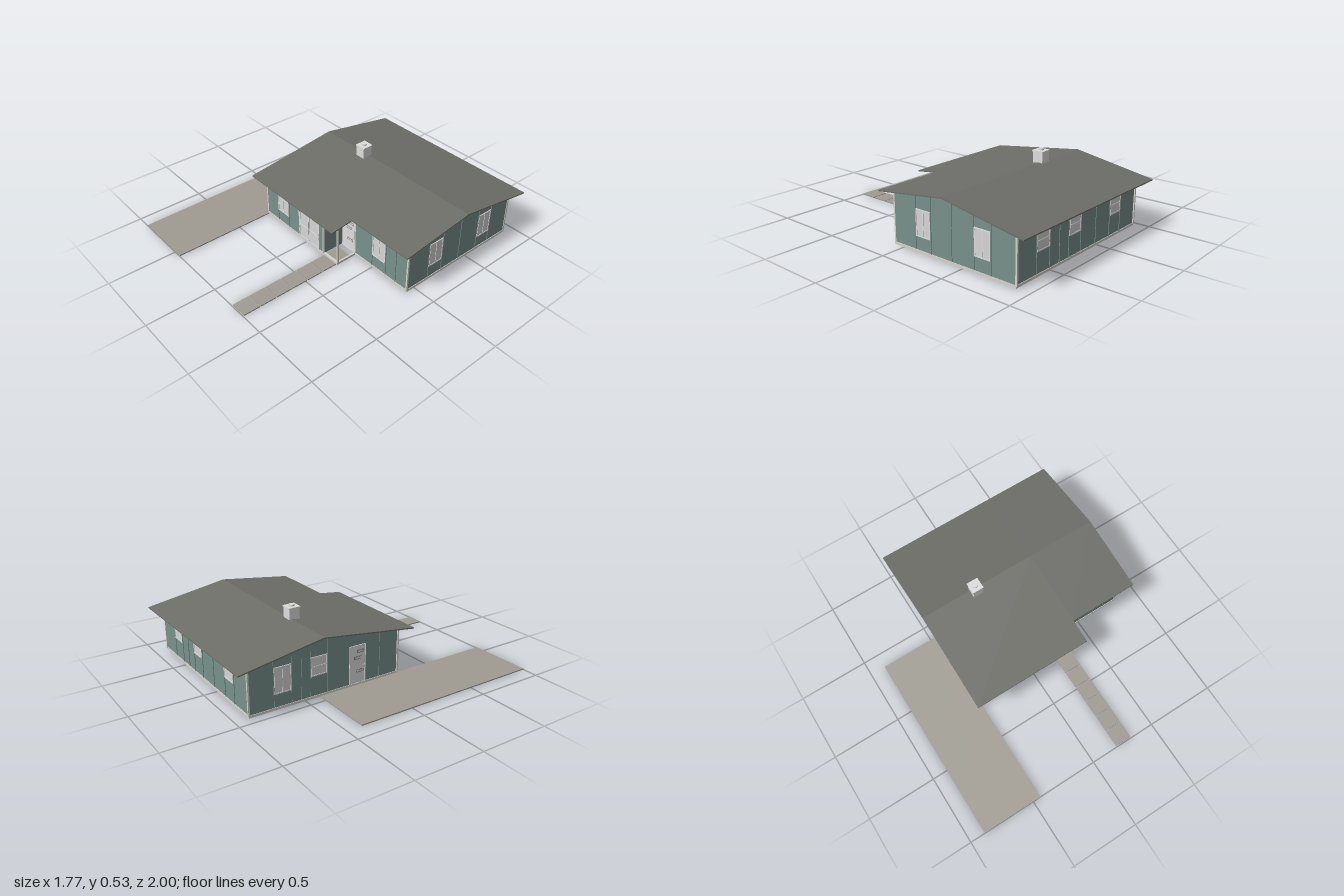
import * as THREE from 'three';

const mat = (name, color) => {
  const m = new THREE.MeshStandardMaterial({ color });
  m.name = name;
  return m;
};
const green = mat('green siding', 0x78918a);
const roofGrey = mat('roof shingle', 0x6e6e69);
const concrete = mat('concrete', 0xa09c93);
const white = mat('white paint', 0xdedede);
const trimCol = mat('trim', 0xd6d4cd);
const glass = mat('pale glass', 0xd6d6d6);
const dark = mat('dark grey', 0x6a6a6a);

// Roof line: ridge and two unequal slopes
const RIDGE_Z = -0.4, RIDGE_Y = 0.436;
const roofY = z => RIDGE_Y - (z > RIDGE_Z ? 0.132 * (z - RIDGE_Z) : 0.167 * (RIDGE_Z - z));
const X0 = -0.44, X1 = 0.825, ZB = -0.905, ZF = 0.235, ZR = 0.07, PX0 = 0.19, PX1 = 0.335, T = 0.012;

export function createModel() {
  const model = new THREE.Group();
  model.name = 'house';

  // Box given by its minimum and maximum on each axis
  const box = (name, m, x0, x1, y0, y1, z0, z1, parent = model) => {
    const mesh = new THREE.Mesh(new THREE.BoxGeometry(x1 - x0, y1 - y0, z1 - z0), m);
    mesh.position.set((x0 + x1) / 2, (y0 + y1) / 2, (z0 + z1) / 2);
    mesh.name = name;
    parent.add(mesh);
    return mesh;
  };

  // Profile of [z, y] points extruded from x0 to x1
  const profile = (name, m, pts, x0, x1) => {
    const shape = new THREE.Shape(pts.map(p => new THREE.Vector2(...p)));
    const g = new THREE.ExtrudeGeometry(shape, { depth: x1 - x0, bevelEnabled: false });
    g.rotateY(-Math.PI / 2).translate(x1, 0, 0);
    const mesh = new THREE.Mesh(g, m);
    mesh.name = name;
    model.add(mesh);
  };

  // Roof, with the front eave cut back on the left part
  const roofPart = (zf, x0, x1) => {
    const top = [[-1, roofY(-1)], [RIDGE_Z, RIDGE_Y], [zf, roofY(zf)]];
    profile('roof', roofGrey, [...top, ...top.map(([z, y]) => [z, y - 0.008]).reverse()], x0, x1);
  };
  roofPart(0.318, -0.505, 0.375);
  roofPart(0.15, 0.375, 0.885);

  // Gable walls: green outside, white lining inside
  const under = z => roofY(z) - 0.009;
  const gable = (name, m, zb, zf, x0, x1) => {
    const pts = [[zb, 0.015], [zb, under(zb)], [zf, under(zf)], [zf, 0.015]];
    if (zf > RIDGE_Z && zb < RIDGE_Z) pts.splice(2, 0, [RIDGE_Z, under(RIDGE_Z)]);
    profile(name, m, pts, x0, x1);
  };
  gable('rightGableWall', green, ZB, ZF, X0, X0 + T);
  gable('leftGableWall', green, ZB, ZR, X1 - T, X1);
  gable('porchSideWall', green, ZR, ZF, PX0 - T, PX0);
  gable('wallLining', white, ZB + T, ZF - T, X0 + T, X0 + T + 0.004);
  gable('wallLining', white, ZB + T, ZR - T, X1 - T - 0.004, X1 - T);
  gable('wallLining', white, ZR, ZF - T, PX0 - T - 0.004, PX0 - T);

  // Front and back walls with linings
  const wall = (x0, x1, z, dir) => {
    const y = under(z);
    const a = z - dir * T, b = a - dir * 0.004;
    box('wall', green, x0, x1, 0.015, y, Math.min(a, z), Math.max(a, z));
    box('wallLining', white, x0 + T, x1 - T, 0.015, y, Math.min(a, b), Math.max(a, b));
  };
  wall(X0, PX0, ZF, 1);
  wall(PX0 - T, X1, ZR, 1);
  wall(X0, X1, ZB, -1);

  // Sill around the base
  const sill = (x0, x1, z0, z1) => box('sill', trimCol, x0, x1, 0.005, 0.022, z0, z1);
  sill(X0 - 0.004, PX1, ZF - 0.012, ZF + 0.004);
  sill(PX1 - 0.012, PX1, ZR, ZF);
  sill(PX1, X1 + 0.004, ZR - 0.012, ZR + 0.004);
  sill(X0 - 0.004, X1 + 0.004, ZB - 0.004, ZB + 0.012);
  sill(X0 - 0.004, X0 + 0.012, ZB, ZF);
  sill(X1 - 0.012, X1 + 0.004, ZB, ZR);

  // Corner boards and porch post
  for (const [x, z] of [[X0, ZF], [X0, ZB], [X1, ZB], [X1, ZR], [PX0, ZF], [PX1 - 0.004, ZR]]) {
    box('cornerBoard', trimCol, x - 0.008, x + 0.004, 0.015, under(z) - 0.002, z - 0.008, z + 0.004);
  }
  box('porchPost', trimCol, PX1 - 0.012, PX1, 0.015, under(ZF), ZF - 0.012, ZF);

  // A wall frame: local x runs along the wall, local z points outward
  const mount = (name, x, z, turn) => {
    const g = new THREE.Group();
    g.name = name;
    g.position.set(x, 0, z);
    g.rotation.y = turn;
    model.add(g);
    return g;
  };
  const border = (g, w, y0, y1, t, d) => {
    for (const s of [-1, 1]) {
      const c = s * (w - t) / 2;
      box('frameSide', white, c - t / 2, c + t / 2, y0, y1, -0.002, d, g);
    }
    box('frameTop', white, -w / 2, w / 2, y1 - t, y1, -0.002, d, g);
    box('frameBottom', white, -w / 2, w / 2, y0, y0 + t, -0.002, d, g);
  };
  const FRONT = 0, BACK = Math.PI, LEFT = Math.PI / 2, RIGHT = -Math.PI / 2;

  const windowAt = (x, z, turn, small) => {
    const g = mount('window', x, z, turn), y0 = small ? 0.16 : 0.112, y1 = 0.292, w = 0.122;
    box('pane', glass, -w / 2, w / 2, y0, y1, -0.001, 0.003, g);
    border(g, w, y0, y1, 0.008, 0.006);
    if (small) box('sashRail', white, -w / 2, w / 2, 0.222, 0.23, 0, 0.006, g);
    else box('sashStile', white, -0.004, 0.004, y0, y1, 0, 0.006, g);
    // Panel joints beside the opening
    for (const s of [-1, 1]) {
      const c = s * (w / 2 + 0.003);
      box('panelJoint', green, c - 0.0015, c + 0.0015, 0.02, under(z) - 0.004, 0, 0.004, g);
    }
  };
  windowAt(-0.252, ZF, FRONT);
  windowAt(0.562, ZR, FRONT);
  for (const z of [-0.185, -0.66]) windowAt(X1, z, LEFT);
  for (const x of [0.58, 0.26, -0.195]) windowAt(x, ZB, BACK, true);
  windowAt(X0, -0.665, RIGHT);
  windowAt(X0, -0.4, RIGHT, true);

  // Joints between plain panels
  const joint = (x, z, turn) =>
    box('panelJoint', green, -0.0015, 0.0015, 0.02, under(z) - 0.004, 0, 0.004, mount('joint', x, z, turn));
  for (const x of [0.42, 0.03]) joint(x, ZB, BACK);
  joint(X1, -0.42, LEFT);
  for (const z of [-0.53, 0.08]) joint(X0, z, RIGHT);
  joint(0.72, ZR, FRONT);

  // Solid doors with staggered lights and a knob
  const doorAt = (x, z, turn) => {
    const g = mount('door', x, z, turn);
    box('doorPanel', white, -0.06, 0.06, 0.02, 0.285, -0.002, 0.003, g);
    border(g, 0.13, 0.018, 0.292, 0.006, 0.006);
    for (const [cx, cy] of [[0.02, 0.248], [0, 0.203], [0.02, 0.108]]) {
      box('doorLightFrame', dark, cx - 0.028, cx + 0.028, cy - 0.01, cy + 0.01, 0, 0.004, g);
      box('doorLight', glass, cx - 0.024, cx + 0.024, cy - 0.006, cy + 0.006, 0, 0.005, g);
    }
    const knob = new THREE.Mesh(new THREE.SphereGeometry(0.005, 10, 8), trimCol);
    knob.position.set(0.052, 0.145, 0.008);
    knob.name = 'doorKnob';
    g.add(knob);
  };
  doorAt(0.262, ZR, FRONT);
  doorAt(X0, -0.1, RIGHT);

  // Glazed patio door with transom
  const patio = mount('patioDoor', 0.037, ZF, FRONT);
  box('pane', glass, -0.11, 0.11, 0.024, 0.335, -0.001, 0.003, patio);
  border(patio, 0.22, 0.024, 0.335, 0.007, 0.006);
  for (const y of [0.13, 0.285]) box('rail', white, -0.11, 0.11, y - 0.004, y + 0.004, 0, 0.006, patio);
  for (const x of [-0.098, 0, 0.098]) box('stile', white, x - 0.004, x + 0.004, 0.024, 0.285, 0, 0.006, patio);
  box('meetingGap', dark, -0.001, 0.001, 0.03, 0.28, 0, 0.007, patio);

  // Ceiling and room partitions
  box('ceiling', white, X0 + T, PX0 - T, 0.325, 0.329, ZB + T, ZF - T);
  box('ceiling', white, PX0 - T, X1 - T, 0.325, 0.329, ZB + T, ZR - T);
  const partition = (x0, x1, z0, z1) => box('partition', white, x0, x1, 0.02, 0.326, z0, z1);
  partition(-0.05, 0.12, -0.4, -0.388);
  partition(0.24, 0.7, -0.4, -0.388);
  partition(0.4, 0.412, -0.39, ZR - T);
  partition(0.41, 0.422, ZB + T, -0.4);
  partition(0.08, 0.092, ZB + T, -0.4);
  partition(PX0 - T, PX0, -0.12, ZR - T);
  box('closet', dark, 0.335, 0.4, 0.02, 0.28, -0.08, ZR - 0.02);
  box('counter', white, X0 + 0.02, -0.1, 0.02, 0.12, ZB + 0.02, -0.8);
  box('counter', white, -0.2, -0.1, 0.02, 0.12, -0.8, -0.55);

  // Chimney with cap and flue
  box('chimney', white, -0.127, -0.053, 0.415, 0.505, -0.421, -0.343);
  box('chimneyCap', white, -0.132, -0.048, 0.505, 0.515, -0.425, -0.339);
  const flue = new THREE.Mesh(new THREE.CylinderGeometry(0.019, 0.019, 0.014, 20), white);
  flue.position.set(-0.09, 0.52, -0.382);
  flue.name = 'flue';
  model.add(flue);

  // Driveway and stepping slabs
  box('driveway', concrete, -0.89, X0, 0, 0.008, -0.392, 1);
  for (let i = 0; i < 7; i++) {
    const z = 0.992 - i * 0.1275;
    box('pathSlab', concrete, 0.2, 0.323, 0, 0.008, z - 0.12, z);
  }
  return model;
}
